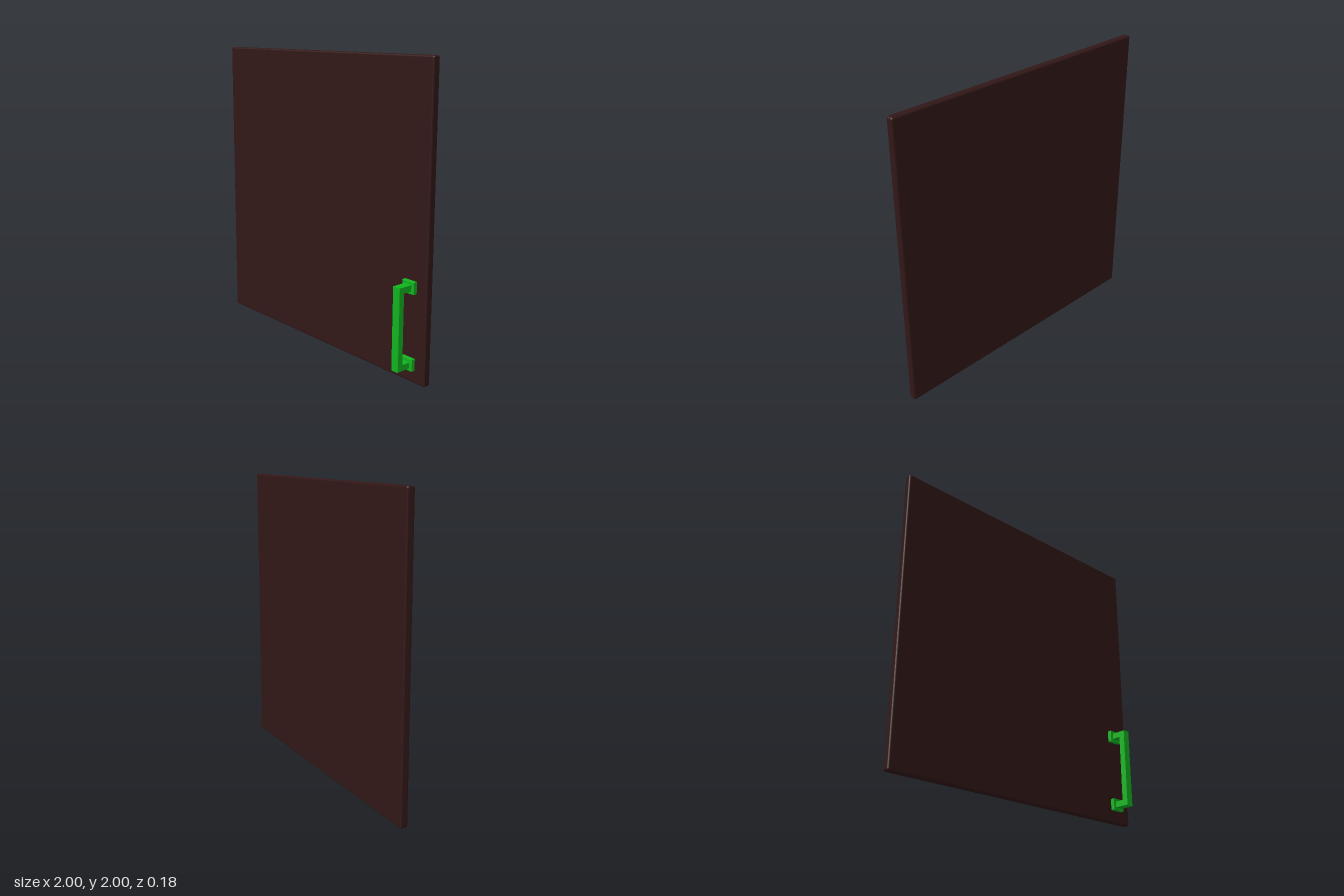
import * as THREE from 'three';
import { RoundedBoxGeometry } from 'three/addons/geometries/RoundedBoxGeometry.js';

const wood = new THREE.MeshStandardMaterial({ color: 0x321717 });
const green = new THREE.MeshStandardMaterial({ color: 0x10b41e });

const HANDLE_X = 0.87, LOW = 0.1, HIGH = 0.64; // handle position and vertical extent
const FACE_Z = -0.038; // front face of the panel

function add(parent, name, geometry, material, x, y, z) {
  const mesh = new THREE.Mesh(geometry, material);
  mesh.name = name;
  mesh.position.set(x, y, z);
  parent.add(mesh);
}

// C-shaped bar: side profile (z, y) extruded across x
function gripGeometry() {
  const front = 0.09, bar = 0.043, width = 0.056, bevel = 0.003;
  const b = bevel;
  const profile = new THREE.Shape([
    [FACE_Z + b, LOW + b], [front - b, LOW + b], [front - b, HIGH - b], [FACE_Z + b, HIGH - b],
    [FACE_Z + b, HIGH - bar + b], [front - bar + b, HIGH - bar + b],
    [front - bar + b, LOW + bar - b], [FACE_Z + b, LOW + bar - b],
  ].map(([z, y]) => new THREE.Vector2(z, y)));
  const depth = width - 2 * b;
  return new THREE.ExtrudeGeometry(profile, {
    depth, bevelEnabled: true, bevelSize: b, bevelThickness: b, bevelSegments: 1,
  }).translate(0, 0, -depth / 2).rotateY(-Math.PI / 2);
}

export function createModel() {
  const model = new THREE.Group();
  model.name = 'cabinetDoor';

  // Flat panel with softened edges
  add(model, 'doorPanel', new RoundedBoxGeometry(2, 2, 0.052, 2, 0.012), wood, 0, 1, FACE_Z - 0.026);

  // Pull handle with a mounting plate at each end
  const handle = new THREE.Group();
  handle.name = 'handle';
  add(handle, 'handleGrip', gripGeometry(), green, HANDLE_X, 0, 0);
  for (const [name, y] of [['lowerMountPlate', 0.124], ['upperMountPlate', 0.619]]) {
    add(handle, name, new RoundedBoxGeometry(0.098, 0.08, 0.029, 1, 0.003), green, HANDLE_X, y, FACE_Z + 0.0125);
  }
  model.add(handle);
  return model;
}
